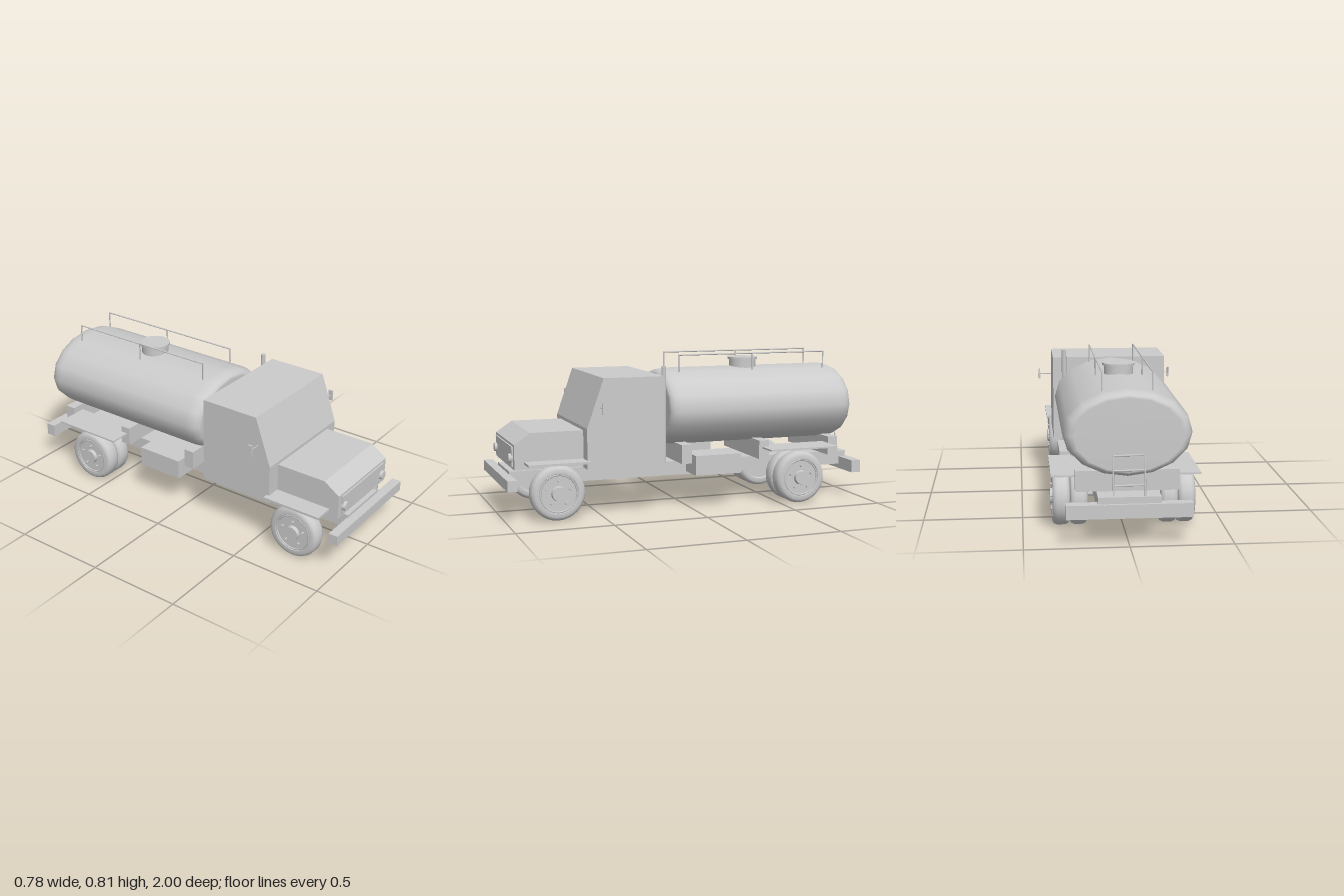
import * as THREE from 'three';
import { toCreasedNormals } from 'three/addons/utils/BufferGeometryUtils.js';

const mat = new THREE.MeshStandardMaterial({ color: 0xcccccc });

export function createModel() {
  const root = new THREE.Group();
  root.name = 'tankerTruck';

  const add = (name, geo, x = 0, y = 0, z = 0, parent = root) => {
    const m = new THREE.Mesh(geo, mat);
    m.name = name;
    m.position.set(x, y, z);
    parent.add(m);
    return m;
  };
  // box from its limits
  const box = (name, x0, x1, y0, y1, z0, z1) =>
    add(name, new THREE.BoxGeometry(x1 - x0, y1 - y0, z1 - z0), (x0 + x1) / 2, (y0 + y1) / 2, (z0 + z1) / 2);
  // box on the side s (+1 left, -1 right)
  const sideBox = (name, s, x0, x1, ...yz) =>
    box(name, Math.min(s * x0, s * x1), Math.max(s * x0, s * x1), ...yz);
  // round bar between two points
  const bar = (name, a, b, r = 0.004) => {
    const p = new THREE.Vector3(...a), d = new THREE.Vector3(...b).sub(p);
    const m = add(name, new THREE.CylinderGeometry(r, r, d.length(), 8));
    m.position.copy(p).addScaledVector(d, 0.5);
    m.quaternion.setFromUnitVectors(new THREE.Vector3(0, 1, 0), d.normalize());
    return m;
  };
  // side outline [z, y] extruded across the width
  const sideProfile = (name, pts, halfWidth) => {
    const shape = new THREE.Shape(pts.map(([z, y]) => new THREE.Vector2(-z, y)));
    const geo = new THREE.ExtrudeGeometry(shape, { depth: halfWidth * 2, bevelEnabled: false });
    geo.translate(0, 0, -halfWidth);
    geo.rotateY(Math.PI / 2);
    return add(name, geo);
  };
  const lathe = (pts, n) => new THREE.LatheGeometry(pts.map(p => new THREE.Vector2(...p)), n);

  // Chassis and bumpers
  box('chassis', -0.15, 0.15, 0.165, 0.24, -0.985, 0.955);
  box('frontBumper', -0.328, 0.328, 0.17, 0.225, 0.95, 1);
  box('rearBumper', -0.3, 0.3, 0.14, 0.208, -1, -0.945);

  // Cab and bonnet
  sideProfile('cab', [[0.17, 0.255], [0.585, 0.255], [0.585, 0.465], [0.495, 0.72], [0.17, 0.72]], 0.314);
  sideProfile('bonnet', [[0.58, 0.26], [0.945, 0.26], [0.945, 0.39], [0.86, 0.448], [0.58, 0.448]], 0.238);
  box('grille', -0.208, 0.208, 0.275, 0.378, 0.94, 0.953);
  bar('exhaustStack', [0.253, 0.255, 0.152], [0.253, 0.766, 0.152], 0.013);

  // Tank: rounded drum with an elliptical section
  const tankGeo = lathe([
    [0, -0.53], [0.84, -0.53], [0.9, -0.525], [0.95, -0.51], [0.985, -0.485], [1, -0.45],
    [1, 0.45], [0.985, 0.485], [0.95, 0.51], [0.9, 0.525], [0.84, 0.53], [0, 0.53],
  ], 16);
  tankGeo.rotateX(Math.PI / 2);
  tankGeo.scale(0.31, 0.21, 1);
  add('tank', tankGeo, 0, 0.525, -0.41);
  for (const z of [0.02, -0.43, -0.85]) box('tankSaddle', -0.25, 0.25, 0.24, 0.342, z - 0.029, z + 0.029);
  add('hatchNeck', new THREE.CylinderGeometry(0.074, 0.074, 0.07, 24), 0, 0.735, -0.405);
  add('hatchLid', new THREE.CylinderGeometry(0.083, 0.083, 0.012, 24), 0, 0.777, -0.405);

  // Rear ladder
  for (const x of [-0.075, 0.075]) bar('ladderRail', [x, 0.24, -0.97], [x, 0.44, -0.942]);
  for (const t of [0.25, 0.6, 0.95]) {
    const y = 0.24 + 0.2 * t, z = -0.97 + 0.028 * t;
    bar('ladderRung', [-0.075, y, z], [0.075, y, z]);
  }

  // Wheel pieces, with the outer face towards +x
  const tyreGeo = toCreasedNormals(lathe([
    [0, -0.032], [0.098, -0.032], [0.102, -0.042], [0.122, -0.043], [0.135, -0.036], [0.142, -0.02],
    [0.142, 0.02], [0.135, 0.036], [0.122, 0.043], [0.102, 0.042], [0.098, 0.034], [0, 0.034],
  ], 32), 0.7);
  tyreGeo.rotateZ(-Math.PI / 2);
  const rimGeo = new THREE.TorusGeometry(0.096, 0.005, 6, 32).rotateY(Math.PI / 2);
  const hubGeo = new THREE.CylinderGeometry(0.036, 0.04, 0.022, 20).rotateZ(-Math.PI / 2);
  const nutGeo = new THREE.CylinderGeometry(0.006, 0.006, 0.02, 6).rotateZ(-Math.PI / 2);
  const wheel = (name, s, x, z, outer = true) => {
    const g = new THREE.Group();
    g.name = name;
    g.position.set(s * x, 0.143, z);
    if (s < 0) g.rotation.y = Math.PI;
    add('tyre', tyreGeo, 0, 0, 0, g);
    if (outer) {
      add('rim', rimGeo, 0.037, 0, 0, g);
      add('hub', hubGeo, 0.041, 0, 0, g);
      for (let i = 0; i < 5; i++) {
        const a = Math.PI / 2 + (i * Math.PI * 2) / 5;
        add('wheelNut', nutGeo, 0.04, Math.sin(a) * 0.064, Math.cos(a) * 0.064, g);
      }
    }
    root.add(g);
  };

  // Axles
  for (const z of [0.738, -0.607]) bar('axle', [-0.25, 0.155, z], [0.25, 0.155, z], 0.014);

  // Parts repeated on both sides
  for (const s of [1, -1]) {
    wheel('frontWheel', s, 0.284, 0.738);
    wheel('rearOuterWheel', s, 0.31, -0.607);
    wheel('rearInnerWheel', s, 0.223, -0.607, false);
    sideBox('frontFender', s, 0.2, 0.343, 0.289, 0.301, 0.57, 0.895);
    sideBox('rearFender', s, 0.18, 0.364, 0.298, 0.307, -0.82, -0.42);
    sideBox('toolBox', s, 0.15, 0.3, 0.182, 0.288, -0.275, -0.012);

    const lamp = add('headlight', new THREE.CylinderGeometry(0.022, 0.026, 0.02, 20), s * 0.187, 0.317, 0.957);
    lamp.rotation.x = Math.PI / 2;

    bar('mirrorArm', [s * 0.31, 0.57, 0.512], [s * 0.382, 0.57, 0.512], 0.003);
    sideBox('mirror', s, 0.379, 0.388, 0.542, 0.6, 0.5, 0.524);

    // Walkway handrail
    const x = s * 0.12;
    bar('handrail', [x, 0.81, 0.022], [x, 0.81, -0.848]);
    for (const z of [0.02, -0.413, -0.846]) bar('handrailPost', [x, 0.7, z], [x, 0.813, z]);
  }
  return root;
}
